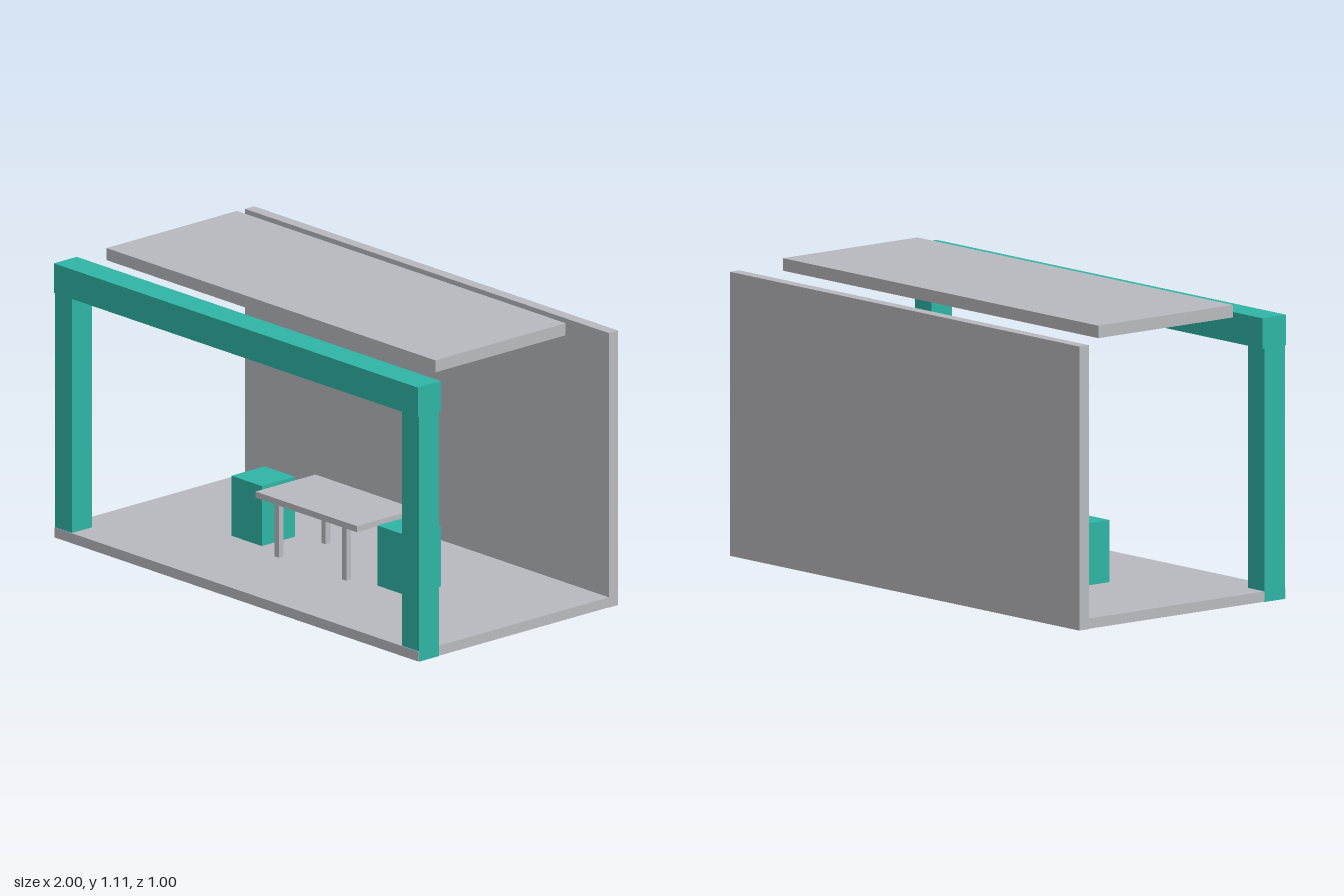
import * as THREE from 'three';

export function createModel() {
  const model = new THREE.Group();
  const grey = new THREE.MeshStandardMaterial({ color: 0xb9babf });
  grey.name = 'light grey';
  const teal = new THREE.MeshStandardMaterial({ color: 0x2fb5a5 });
  teal.name = 'teal';

  // Box given by its extents on each axis
  function block(name, material, [x0, x1], [y0, y1], [z0, z1], parent = model) {
    const mesh = new THREE.Mesh(new THREE.BoxGeometry(x1 - x0, y1 - y0, z1 - z0), material);
    mesh.position.set((x0 + x1) / 2, (y0 + y1) / 2, (z0 + z1) / 2);
    mesh.name = name;
    parent.add(mesh);
    return mesh;
  }
  const mirrored = (side, a, b) => (side > 0 ? [a, b] : [-b, -a]);

  // Shell: floor, back wall and raised roof panel
  block('floor', grey, [-0.999, 0.999], [0.001, 0.04], [-0.502, 0.5]);
  block('backWall', grey, [-1, 1], [0, 1.07], [-0.502, -0.456]);
  block('roofPanel', grey, [-0.903, 0.903], [1.067, 1.114], [-0.327, 0.327]);

  // Front frame: beam on two posts
  block('frontBeam', teal, [-1, 1], [0.955, 1.07], [0.388, 0.503]);
  for (const side of [-1, 1]) {
    block(side > 0 ? 'leftPost' : 'rightPost', teal,
      mirrored(side, 0.906, 1), [0, 0.955], [0.398, 0.497]);
  }

  // Table with four legs
  const table = new THREE.Group();
  table.name = 'table';
  model.add(table);
  block('tableTop', grey, [-0.278, 0.278], [0.253, 0.277], [-0.15, 0.15], table);
  for (const sx of [-1, 1]) {
    for (const sz of [-1, 1]) {
      block('tableLeg', grey, mirrored(sx, 0.173, 0.197), [0.04, 0.253],
        mirrored(sz, 0.106, 0.129), table);
    }
  }

  // Block stools at both ends of the table
  for (const side of [-1, 1]) {
    block(side > 0 ? 'leftStool' : 'rightStool', teal,
      mirrored(side, 0.317, 0.484), [0.04, 0.274], [-0.083, 0.083]);
  }

  return model;
}
